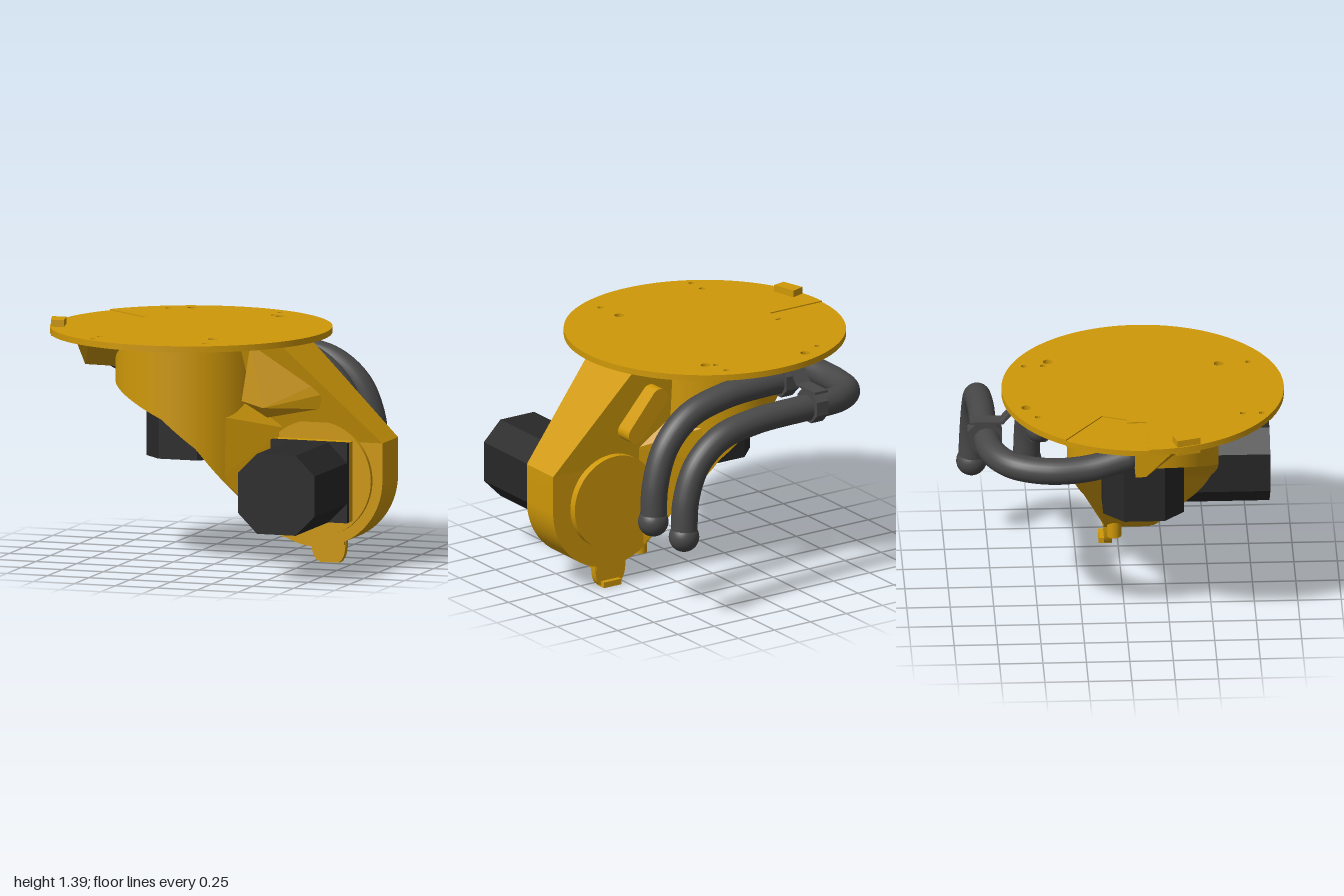
import * as THREE from 'three';
import { toCreasedNormals } from 'three/addons/utils/BufferGeometryUtils.js';
import { ConvexGeometry } from 'three/addons/geometries/ConvexGeometry.js';

const gold = new THREE.MeshStandardMaterial({ color: 0xcf9808, side: THREE.DoubleSide });
const black = new THREE.MeshStandardMaterial({ color: 0x282828 });
const rubber = new THREE.MeshStandardMaterial({ color: 0x484848 });

const vec = (p) => new THREE.Vector3(...p);
const polygon = (pts) => new THREE.Shape(pts.map(([x, y]) => new THREE.Vector2(x, y)));

function extrude(shape, depth, z0 = 0) {
  const geo = new THREE.ExtrudeGeometry(shape, { depth, bevelEnabled: false, curveSegments: 64 });
  return geo.translate(0, 0, z0);
}

export function createModel() {
  const model = new THREE.Group();

  const add = (name, geo, mat, pos = [0, 0, 0], parent = model) => {
    const mesh = new THREE.Mesh(geo, mat);
    mesh.name = name;
    mesh.position.set(...pos);
    parent.add(mesh);
    return mesh;
  };
  const box = (name, size, pos) => add(name, new THREE.BoxGeometry(...size), gold, pos);
  const hull = (name, pts) => add(name, new ConvexGeometry(pts.map(vec)), gold);
  const plate = (name, shape, top, depth) =>
    add(name, toCreasedNormals(extrude(shape, depth).rotateX(Math.PI / 2), 0.5), gold, [0, top, 0]);

  // Mounting disc with drilled holes and a stepped-down rim panel
  const cx = -0.19, cz = 0.11, discR = 0.812, stepAngle = -2.523;
  const step = [[-0.64, 0.11], [-0.64, 0], [-0.605, 0], [-0.55, -0.14]];
  const disc = new THREE.Shape().absarc(cx, cz, discR, stepAngle, Math.PI);
  for (const p of step) disc.lineTo(...p);
  const holes = [
    [-0.425, -0.57, 0.028], [0.165, -0.42, 0.028], [0.1, 0.56, 0.028],
    [-0.55, -0.51, 0.017], [0.115, -0.56, 0.017], [0.115, -0.45, 0.017],
    [-0.55, 0.67, 0.017], [-0.55, 0.78, 0.017], [0.115, 0.73, 0.017],
  ];
  for (const [x, z, r] of holes) disc.holes.push(new THREE.Path().absarc(x, z, r, 0, Math.PI * 2, true));
  plate('mountingDisc', disc, 1.355, 0.036);
  const panel = new THREE.Shape().absarc(cx, cz, discR, Math.PI, stepAngle + Math.PI * 2);
  for (const p of [...step].reverse()) panel.lineTo(...p);
  plate('rimPanel', panel, 1.348, 0.034);

  // Index tab on the rim
  plate('indexTab', polygon([[-0.98, 0.275], [-0.9, 0.25], [-0.865, 0.395], [-0.94, 0.41]]), 1.395, 0.095);

  // Round drum, cut off underneath along a falling curve
  const R = 0.435;
  const cut = [[-0.63, 1.05], [-0.22, 0.87], [-0.02, 0.7], [0.1, 0.53], [0.25, 0.32]];
  const cutHeight = (x) => {
    let i = 0;
    while (i < cut.length - 2 && x > cut[i + 1][0]) i++;
    const [[x0, y0], [x1, y1]] = [cut[i], cut[i + 1]];
    return y0 + ((x - x0) / (x1 - x0)) * (y1 - y0);
  };
  const wall = new THREE.CylinderGeometry(R, R, 2, 96, 1, true);
  const wp = wall.attributes.position;
  for (let i = 0; i < wp.count; i++) {
    wp.setY(i, wp.getY(i) > 0 ? 1.32 : cutHeight(wp.getX(i) + cx));
  }
  add('drumWall', wall, gold, [cx, 0, cz]);
  const floor = new THREE.PlaneGeometry(2, 2, 48, 1);
  const fp = floor.attributes.position;
  for (let i = 0; i < fp.count; i++) {
    const a = fp.getX(i) * Math.PI / 2;
    const x = cx + R * Math.sin(a);
    fp.setXYZ(i, x, cutHeight(x), cz + fp.getY(i) * R * Math.cos(a));
  }
  floor.computeVertexNormals();
  add('drumUnderside', floor, gold);
  add('drumFlange', new THREE.CylinderGeometry(0.45, 0.44, 0.04, 64), gold, [cx, 1.3, cz]);
  box('frontPad', [0.38, 0.03, 0.14], [-0.36, 1.305, 0.58]);
  box('rearPad', [0.24, 0.035, 0.24], [0.1, 1.302, -0.28]);

  // Web blending the drum into the round end of the arm
  const web = [];
  for (const [x, y, front, back] of [
    [0, 0.675, 0.495, -0.275], [0.05, 0.9, 0.468, -0.248], [0.1, 0.53, 0.43, -0.21], [0.2, 0.95, 0.3, -0.09],
    [0.19, 0.405, 0.345, -0.155], [0.28, 0.28, 0.265, -0.1], [0.38, 0.19, 0.2, -0.085], [0.42, 0.8, 0.18, -0.085],
  ]) web.push([x, y, front], [x, y, back]);
  hull('drumWeb', web);

  // Cable fairing on the right of the drum
  hull('cableFairing', [
    [-0.84, 1.32, 0.04], [-0.84, 1.1, 0.04], [-0.84, 1.1, 0.1], [-0.84, 1.25, 0.25], [-0.7, 1.3, 0.42],
    [-0.5, 1.32, 0.5], [-0.25, 1.27, 0.5], [-0.6, 1.11, 0.18], [-0.55, 1.12, 0.04], [-0.5, 1.32, 0.04],
  ]);

  // Arm: tapering upper part and round lower part
  const upper = extrude(polygon([[0, 1.32], [0.42, 1.32], [1, 0.74], [0, 0.74]]), 1);
  const up = upper.attributes.position;
  for (let i = 0; i < up.count; i++) {
    const t = (up.getY(i) - 0.74) / 0.58;
    up.setZ(i, up.getZ(i) > 0.5 ? 0.18 + 0.16 * t : -0.09 - 0.025 * t);
  }
  upper.computeVertexNormals();
  add('upperArm', upper, gold);
  const lower = new THREE.Shape();
  lower.moveTo(0, 0.74);
  lower.lineTo(1, 0.74);
  lower.absarc(0.6, 0.52, 0.4, 0, -2.5, true);
  lower.lineTo(0.1, 0.53);
  lower.lineTo(0, 0.675);
  add('lowerArm', toCreasedNormals(extrude(lower, 0.27, -0.09), 0.5), gold);

  // Bearing rings and motor seat on the arm
  const ring = (name, r, z0, z1) => {
    const geo = new THREE.CylinderGeometry(r, r, z1 - z0, 64).rotateX(Math.PI / 2);
    add(name, geo, gold, [0.6, 0.52, (z0 + z1) / 2]);
  };
  ring('frontRing', 0.34, 0.17, 0.21);
  ring('rearCap', 0.28, -0.135, -0.08);
  box('motorSeat', [0.465, 0.465, 0.1], [0.5975, 0.5175, 0.22]);

  // Front shelf gusset and rear rib on the arm
  hull('frontGusset', [
    [0.2, 0.97, 0.345], [0.33, 0.935, 0.345], [0.33, 0.87, 0.27], [0.22, 0.97, 0.2], [0.33, 0.87, 0.2],
    [0.63, 0.93, 0.24], [0.67, 1.02, 0.25], [0.63, 1.08, 0.26], [0.25, 1.3, 0.335], [0.63, 0.93, 0.2],
  ]);
  const ribShape = new THREE.Shape();
  ribShape.absarc(0.125, 0, 0.055, -Math.PI / 2, Math.PI / 2);
  ribShape.absarc(-0.125, 0, 0.055, Math.PI / 2, Math.PI * 1.5);
  const rib = add('rearRib', toCreasedNormals(extrude(ribShape, 0.13, -0.065), 0.5), gold, [0.42, 1.03, -0.145]);
  rib.rotation.z = -Math.PI / 3.6;

  // Octagonal motors: one on the arm, one hanging inside the drum
  const h = 0.2325, c = 0.115;
  const octagon = polygon([
    [h, h - c], [h - c, h], [c - h, h], [-h, h - c], [-h, c - h], [c - h, -h], [h - c, -h], [h, c - h],
  ]);
  const motor = (name, pos) => {
    const g = new THREE.Group();
    g.name = name;
    g.position.set(...pos);
    add('motorBase', new THREE.BoxGeometry(2 * h, 2 * h, 0.04), black, [0, 0, 0.02], g);
    add('motorBody', extrude(octagon, 0.56, 0.04), black, [0, 0, 0], g);
    model.add(g);
    return g;
  };
  motor('armMotor', [0.5975, 0.5175, 0.27]);
  motor('drumMotor', [cx, 1.21, cz]).rotation.x = Math.PI / 2;

  // Stop lug and peg under the arm
  const lug = new THREE.Shape();
  lug.moveTo(0.49, 0.14);
  lug.quadraticCurveTo(0.49, 0.005, 0.55, 0.005);
  lug.lineTo(0.65, 0.005);
  lug.quadraticCurveTo(0.7, 0.005, 0.7, 0.14);
  add('stopLug', toCreasedNormals(extrude(lug, 0.045, -0.08), 0.5), gold);
  box('stopLip', [0.12, 0.034, 0.075], [0.6, 0.017, -0.0725]);
  box('lugRoot', [0.2, 0.03, 0.065], [0.595, 0.12, -0.05]);
  add('peg', new THREE.CylinderGeometry(0.042, 0.042, 0.18, 24), gold, [0.357, 0.23, -0.03]);

  // Hoses with rounded ends
  const hose = (name, pts) => {
    const path = new THREE.CatmullRomCurve3(pts.map(vec));
    add(name, new THREE.TubeGeometry(path, 80, 0.077, 24), rubber);
    add(name + 'Tip', new THREE.SphereGeometry(0.088, 32, 20), rubber, pts[0]);
    add(name + 'End', new THREE.SphereGeometry(0.077, 24, 16), rubber, pts[pts.length - 1]);
  };
  hose('innerHose', [
    [0.6, 0.52, -0.525], [0.58, 0.74, -0.518], [0.5, 0.95, -0.508], [0.34, 1.1, -0.5],
    [0.1, 1.17, -0.495], [-0.15, 1.19, -0.495], [-0.37, 1.19, -0.495],
  ]);
  hose('outerHose', [
    [0.6, 0.52, -0.84], [0.58, 0.74, -0.832], [0.5, 0.93, -0.825], [0.34, 1.06, -0.82], [0.1, 1.11, -0.81],
    [-0.3, 1.12, -0.8], [-0.52, 1.11, -0.76], [-0.66, 1.1, -0.65], [-0.72, 1.09, -0.45],
    [-0.71, 1.1, -0.22], [-0.68, 1.15, 0],
  ]);

  // Hose clamps and the bent strap holding them
  for (const [y, z] of [[1.2, -0.495], [1.135, -0.805]]) {
    const clamp = new THREE.CylinderGeometry(0.107, 0.107, 0.08, 8).rotateZ(Math.PI / 2);
    add('hoseClamp', toCreasedNormals(clamp.rotateX(Math.PI / 8), 0.5), rubber, [-0.32, y, z]);
  }
  const strap = polygon([
    [0.4, 1.318], [0.64, 1.318], [0.71, 1.236], [0.89, 1.236], [0.89, 1.222], [0.7, 1.222], [0.63, 1.304], [0.4, 1.304],
  ]);
  add('hoseStrap', extrude(strap, 0.09, -0.045).rotateY(Math.PI / 2), rubber, [-0.32, 0, 0]);

  return model;
}
